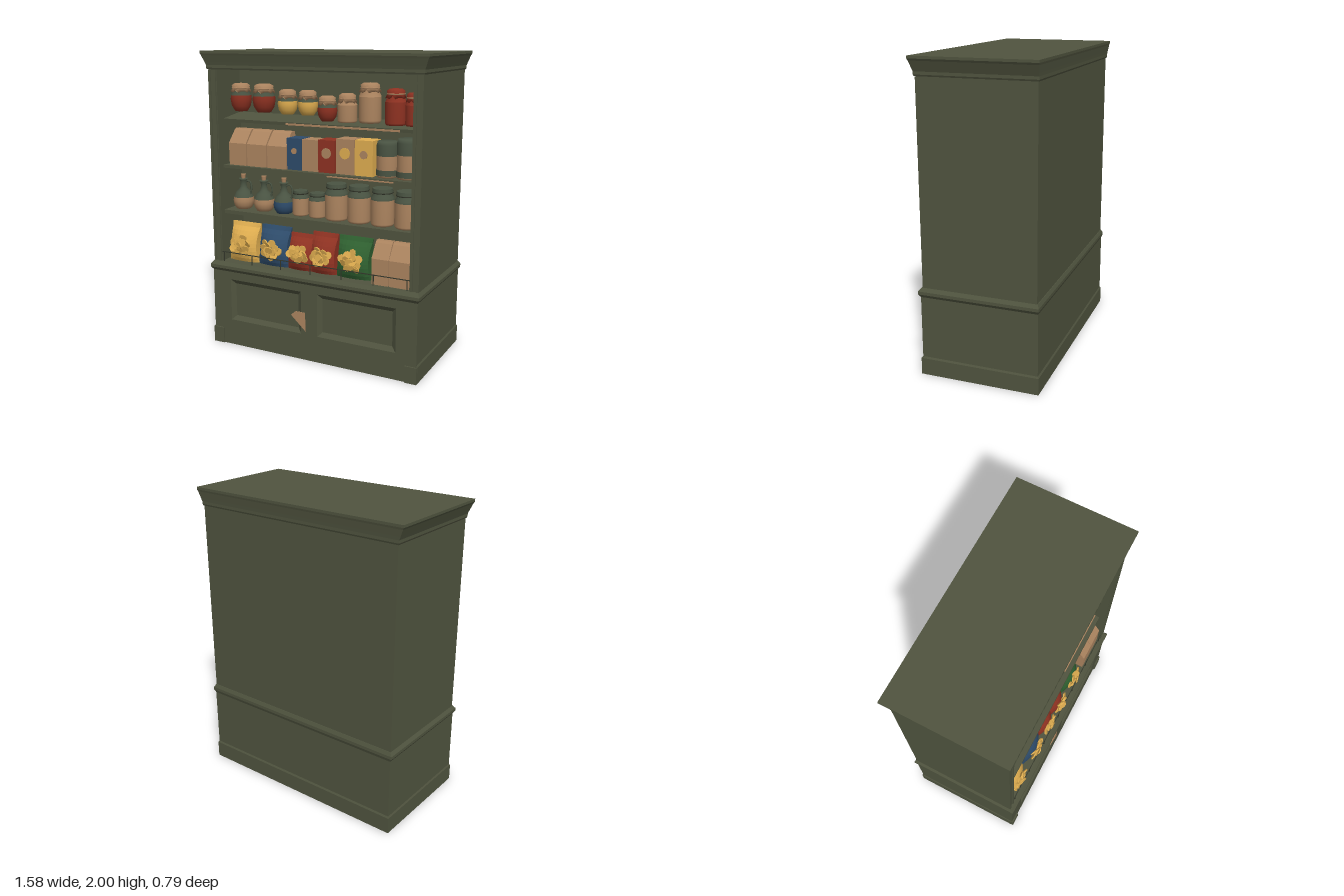
import * as THREE from 'three';

const COLORS = {
  cabinetGreen: 0x50543f, glassGreen: 0x4a5443, paperTan: 0xad8560, jamRed: 0x8f3222,
  honeyYellow: 0xe0ae50, labelBlue: 0x2e4c6b, leafGreen: 0x2f6030, darkWire: 0x34372b,
};

export function createModel() {
  const root = new THREE.Group();
  root.name = 'pantryCabinet';
  const M = {};
  for (const k in COLORS) {
    M[k] = new THREE.MeshStandardMaterial({ color: COLORS[k] });
    M[k].name = k;
  }
  const { cabinetGreen, glassGreen, paperTan, jamRed, honeyYellow, labelBlue, leafGreen, darkWire } = M;

  const add = (name, geo, mat, x = 0, y = 0, z = 0, parent = root) => {
    const m = new THREE.Mesh(geo, mat);
    m.name = name;
    m.position.set(x, y, z);
    parent.add(m);
    return m;
  };
  // box given by its limits
  const block = (name, mat, x0, x1, y0, y1, z0, z1, parent = root) =>
    add(name, new THREE.BoxGeometry(x1 - x0, y1 - y0, z1 - z0), mat, (x0 + x1) / 2, (y0 + y1) / 2, (z0 + z1) / 2, parent);
  const group = (name, x, y, z) => {
    const g = new THREE.Group();
    g.name = name;
    g.position.set(x, y, z);
    root.add(g);
    return g;
  };
  // rectangular cross-sections [halfWidth, front, back, height], capped at both ends
  const loft = (rings, bottom = true) => {
    const pos = [];
    const c = rings.map(([w, f, b, y]) => [[-w, y, f], [w, y, f], [w, y, b], [-w, y, b]]);
    const quad = (a, b, d, e) => pos.push(...a, ...b, ...d, ...a, ...d, ...e);
    for (let i = 0; i + 1 < c.length; i++)
      for (let k = 0; k < 4; k++) {
        const n = (k + 1) % 4;
        quad(c[i][k], c[i][n], c[i + 1][n], c[i + 1][k]);
      }
    const t = c[c.length - 1];
    quad(t[0], t[1], t[2], t[3]);
    if (bottom) quad(c[0][3], c[0][2], c[0][1], c[0][0]);
    const g = new THREE.BufferGeometry();
    g.setAttribute('position', new THREE.Float32BufferAttribute(pos, 3));
    g.computeVertexNormals();
    return g;
  };
  const lathe = (pts, seg = 18) => new THREE.LatheGeometry(pts.map(p => new THREE.Vector2(p[0], p[1])), seg);

  // ---- cabinet base with two recessed panels
  block('baseBody', cabinetGreen, -0.75, 0.75, 0, 0.54, -0.385, 0.355);
  const frame = new THREE.Shape([[-0.75, 0], [0.75, 0], [0.75, 0.54], [-0.75, 0.54]].map(p => new THREE.Vector2(...p)));
  const panelX = 0.335, panelW = 0.275, panelH = 0.145, panelY = 0.325;
  for (const s of [-1, 1]) {
    const x = s * panelX;
    frame.holes.push(new THREE.Path([[-1, -1], [-1, 1], [1, 1], [1, -1]].map(([a, b]) =>
      new THREE.Vector2(x + a * panelW, panelY + b * panelH))));
    const dish = loft([[panelW, panelH, -panelH, 0.025], [panelW - 0.03, panelH - 0.03, -panelH + 0.03, 0.004]], false);
    add('basePanel', dish, cabinetGreen, x, panelY, 0.355).rotation.x = Math.PI / 2;
    block('cornerBlock', cabinetGreen, s * 0.715 - 0.04, s * 0.715 + 0.04, 0, 0.11, 0.3, 0.39);
  }
  add('baseFrame', new THREE.ExtrudeGeometry(frame, { depth: 0.025, bevelEnabled: false }), cabinetGreen, 0, 0, 0.355);
  add('plinth', loft([[0.756, 0.375, -0.392, 0], [0.756, 0.375, -0.392, 0.11], [0.75, 0.37, -0.385, 0.122]]), cabinetGreen);
  const patch = new THREE.Shape([[-0.135, 0.3], [-0.1, 0.33], [-0.03, 0.33], [-0.025, 0.2]].reverse().map(p => new THREE.Vector2(...p)));
  add('wornPatch', new THREE.ExtrudeGeometry(patch, { depth: 0.004, bevelEnabled: false }), paperTan, 0, 0, 0.379);
  add('ledge', loft([[0.75, 0.38, -0.385, 0.525], [0.763, 0.393, -0.392, 0.545], [0.763, 0.393, -0.392, 0.565], [0.748, 0.375, -0.382, 0.588]]), cabinetGreen);

  // ---- upper case, open at the front
  block('backBody', cabinetGreen, -0.748, 0.748, 0.58, 1.9, -0.378, 0.1);
  for (const s of [-1, 1]) {
    block('sideWall', cabinetGreen, s * 0.7165 - 0.0315, s * 0.7165 + 0.0315, 0.58, 1.9, 0.1, 0.36);
    for (const x of [0.7, 0.74])
      block('stileBead', cabinetGreen, s * x - 0.008, s * x + 0.008, 0.588, 1.88, 0.35, 0.367);
  }
  block('header', cabinetGreen, -0.748, 0.748, 1.885, 1.93, 0.1, 0.365);
  add('crown', loft([[0.752, 0.37, -0.382, 1.882], [0.757, 0.374, -0.386, 1.892], [0.757, 0.374, -0.386, 1.91],
    [0.765, 0.379, -0.388, 1.93], [0.782, 0.39, -0.393, 1.972], [0.789, 0.394, -0.396, 1.984], [0.789, 0.394, -0.396, 2]]), cabinetGreen);

  // ---- shelves
  block('middleShelf', cabinetGreen, -0.69, 0.69, 1.228, 1.248, 0.09, 0.315);
  block('lowerShelf', cabinetGreen, -0.69, 0.69, 0.915, 0.94, 0.09, 0.32);
  const topShelf = block('topShelf', cabinetGreen, -0.69, 0.69, 1.553, 1.573, 0.08, 0.3);
  topShelf.rotation.x = 0.14;
  [[-0.2, 0.58, 1.546, 0.299], [0.1, 0.55, 1.238, 0.315]].forEach(([a, b, y, z], i) =>
    block('shelfEdgeStrip', paperTan, a, b, y - 0.006, y + 0.006 - i * 0.004, z, z + 0.006));

  // ---- preserve jars with tied cloth covers: x, width, bottom, top, filling
  const Z = 0.21;
  [[-0.6, 0.14, 1.605, 1.79, jamRed, 1], [-0.42, 0.15, 1.605, 1.79, jamRed, 1], [-0.24, 0.13, 1.6, 1.76, honeyYellow, 1],
    [-0.09, 0.13, 1.6, 1.76, honeyYellow, 1], [0.05, 0.125, 1.57, 1.73, jamRed, 1], [0.19, 0.125, 1.57, 1.75, paperTan],
    [0.345, 0.14, 1.575, 1.82, paperTan], [0.515, 0.13, 1.57, 1.79, jamRed], [0.63, 0.1, 1.57, 1.77, jamRed],
  ].forEach(([x, w, y0, y1, mat, round]) => {
    const g = group('preserveJar', x, y0, Z), r = w / 2, h = y1 - y0, n = h - 0.045;
    const body = round
      ? [[0, 0], [r * 0.6, 0], [r * 0.9, n * 0.25], [r, n * 0.55], [r * 0.97, n * 0.75]]
      : [[0, 0], [r * 0.9, 0], [r, n * 0.08], [r, n * 0.8]];
    add('jarFilling', lathe(body), mat, 0, 0, 0, g);
    const last = body[body.length - 1];
    add('jarShoulder', lathe([last, [r * 0.78, n * 0.97], [r * 0.75, h - 0.03]]), round ? glassGreen : mat, 0, 0, 0, g);
    const cloth = lathe([[0, h - 0.05], [r * 0.98, h - 0.055], [r * 0.8, h - 0.033], [r * 0.86, h - 0.015], [r * 0.6, h - 0.003], [0, h]], 20);
    const p = cloth.attributes.position;
    for (let i = 0; i < p.count; i++) {
      const ripple = p.getY(i) < h - 0.04 ? 0.008 * Math.cos(8 * Math.atan2(p.getZ(i), p.getX(i))) : 0;
      p.setY(i, p.getY(i) + ripple);
    }
    cloth.computeVertexNormals();
    add('clothCover', cloth, mat === jamRed && !round ? jamRed : paperTan, 0, 0, 0, g);
    add('tieString', new THREE.TorusGeometry(r * 0.82, 0.004, 5, 18), paperTan, 0, h - 0.033, 0, g).rotation.x = Math.PI / 2;
  });

  // ---- folded paper bags
  const paperBag = (x, y, z, w, h, d) => {
    const hw = w / 2, hd = d / 2;
    add('paperBag', loft([[hw * 0.97, hd, -hd, 0], [hw, hd, -hd, h * 0.62], [hw * 0.97, hd * 0.1, -hd * 0.6, h * 0.95], [hw * 0.97, -hd * 0.1, -hd * 0.6, h]]), paperTan, x, y, z);
  };
  [[-0.59, 0.135], [-0.44, 0.15], [-0.285, 0.145]].forEach(([x, w]) => paperBag(x, 1.248, Z, w, 0.238, 0.15));

  // ---- cartons with round labels
  [[-0.162, 0.11, 0.205, labelBlue, paperTan, 0.02], [-0.046, 0.115, 0.203, paperTan], [0.072, 0.115, 0.208, jamRed, paperTan, 0.034],
    [0.203, 0.125, 0.222, paperTan, honeyYellow, 0.036], [0.332, 0.122, 0.222, honeyYellow, paperTan, 0.026],
  ].forEach(([x, w, h, mat, label, r]) => {
    const g = group('carton', x, 1.248, Z);
    block('cartonBox', mat, -w / 2, w / 2, 0, h, -0.06, 0.06, g);
    if (label) add('cartonLabel', new THREE.CylinderGeometry(r, r, 0.004, 14), label, 0, h * 0.6, 0.061, g).rotation.x = Math.PI / 2;
  });

  // ---- glass storage jars: x, width, bottom, height
  [[0.465, 0.135, 1.248, 0.222, 1], [0.605, 0.145, 1.248, 0.245, 1], [-0.15, 0.11, 0.94, 0.165], [-0.025, 0.115, 0.94, 0.16],
    [0.115, 0.15, 0.94, 0.235], [0.275, 0.15, 0.94, 0.235], [0.437, 0.15, 0.94, 0.235], [0.6, 0.155, 0.94, 0.23],
  ].forEach(([x, w, y, h, banded]) => {
    const g = group('storageJar', x, y, Z), r = w / 2, f = banded ? 0.6 : 0.7;
    add('jarContents', lathe([[0, 0], [r * 0.9, 0], [r, h * 0.06], [r, h * f]]), paperTan, 0, 0, 0, g);
    const top = banded ? [[r, h * f], [r, h * 0.9], [r * 0.9, h], [0, h]] : [[r, h * f], [r * 0.97, h * 0.76], [r * 0.78, h * 0.85], [r * 0.78, h * 0.9]];
    add('jarGlass', lathe(top), glassGreen, 0, 0, 0, g);
    if (banded) add('jarBand', new THREE.CylinderGeometry(r + 0.003, r + 0.003, 0.035, 18), glassGreen, 0, 0.03, 0, g);
    else {
      add('jarLid', new THREE.CylinderGeometry(r * 0.84, r * 0.88, h * 0.1, 18), glassGreen, 0, h * 0.95, 0, g);
      add('wireClasp', new THREE.TorusGeometry(r * 0.86, 0.004, 5, 18), darkWire, 0, h * 0.89, 0, g).rotation.x = Math.PI / 2;
    }
  });

  // ---- corked cruets with a loop handle
  [[-0.6, paperTan], [-0.435, paperTan], [-0.278, labelBlue]].forEach(([x, mat]) => {
    const g = group('cruet', x, 0.94, Z);
    add('cruetLiquid', lathe([[0, 0], [0.05, 0], [0.066, 0.025], [0.071, 0.055], [0.067, 0.08]]), mat, 0, 0, 0, g);
    add('cruetGlass', lathe([[0.067, 0.08], [0.05, 0.115], [0.025, 0.14], [0.02, 0.17], [0.023, 0.195], [0.032, 0.207], [0, 0.207]]), glassGreen, 0, 0, 0, g);
    add('cork', new THREE.CylinderGeometry(0.018, 0.014, 0.03, 10), paperTan, 0, 0.22, 0, g);
    const loop = new THREE.CatmullRomCurve3([[0.02, 0.185], [0.05, 0.19], [0.065, 0.15], [0.055, 0.1]].map(p => new THREE.Vector3(p[0], p[1], 0)));
    add('cruetHandle', new THREE.TubeGeometry(loop, 10, 0.006, 6), glassGreen, 0, 0, 0, g);
  });

  // ---- pillow-shaped snack bags with heaped chips: x, width, height, colour, chip spread
  [[-0.55, 0.225, 0.262, honeyYellow, 0.075], [-0.312, 0.23, 0.265, labelBlue, 0.072], [-0.105, 0.19, 0.235, jamRed, 0.065],
    [0.06, 0.185, 0.262, jamRed, 0.065], [0.278, 0.235, 0.262, leafGreen, 0.076],
  ].forEach(([x, w, h, mat, spread], bag) => {
    const g = group('snackBag', x, 0.59, 0.275);
    const geo = new THREE.BoxGeometry(w, h, 0.15, 8, 10, 2).toNonIndexed();
    const p = geo.attributes.position;
    for (let i = 0; i < p.count; i++) {
      const u = p.getX(i) / w * 2, v = p.getY(i) / h + 0.5;
      const puff = Math.pow(Math.max(0, Math.sin(Math.PI * Math.min(1, 0.12 + v * 0.94))), 0.7) * (1 - 0.45 * u * u);
      p.setXYZ(i, p.getX(i) * (1 - 0.1 * Math.sin(Math.PI * v)), v * h, p.getZ(i) * Math.max(0.07, puff) - v * 0.03);
    }
    geo.computeVertexNormals();
    add('bagPillow', geo, mat, 0, 0, 0, g);
    for (let i = 0; i < 13; i++) {
      const a = i * 2.4 + bag, q = spread * Math.sqrt(i / 13);
      const chip = add('chip', new THREE.CylinderGeometry(0.026, 0.026, 0.008, 8), honeyYellow,
        q * Math.cos(a), 0.12 + q * 0.8 * Math.sin(a), 0.088 - q * 0.35, g);
      chip.rotation.set(Math.PI / 2 + 0.35 * Math.sin(a * 1.7), 0, 0.35 * Math.cos(a * 2.3));
    }
  });
  paperBag(0.483, 0.588, 0.28, 0.115, 0.268, 0.13);
  paperBag(0.61, 0.588, 0.28, 0.135, 0.268, 0.13);

  // ---- low wire rail in front of the bags
  block('railWire', darkWire, -0.69, 0.69, 0.652, 0.657, 0.358, 0.363);
  for (let i = 0; i < 7; i++) {
    const x = -0.67 + i * 0.2233;
    block('railPost', darkWire, x - 0.0025, x + 0.0025, 0.575, 0.655, 0.358, 0.363);
  }
  return root;
}
